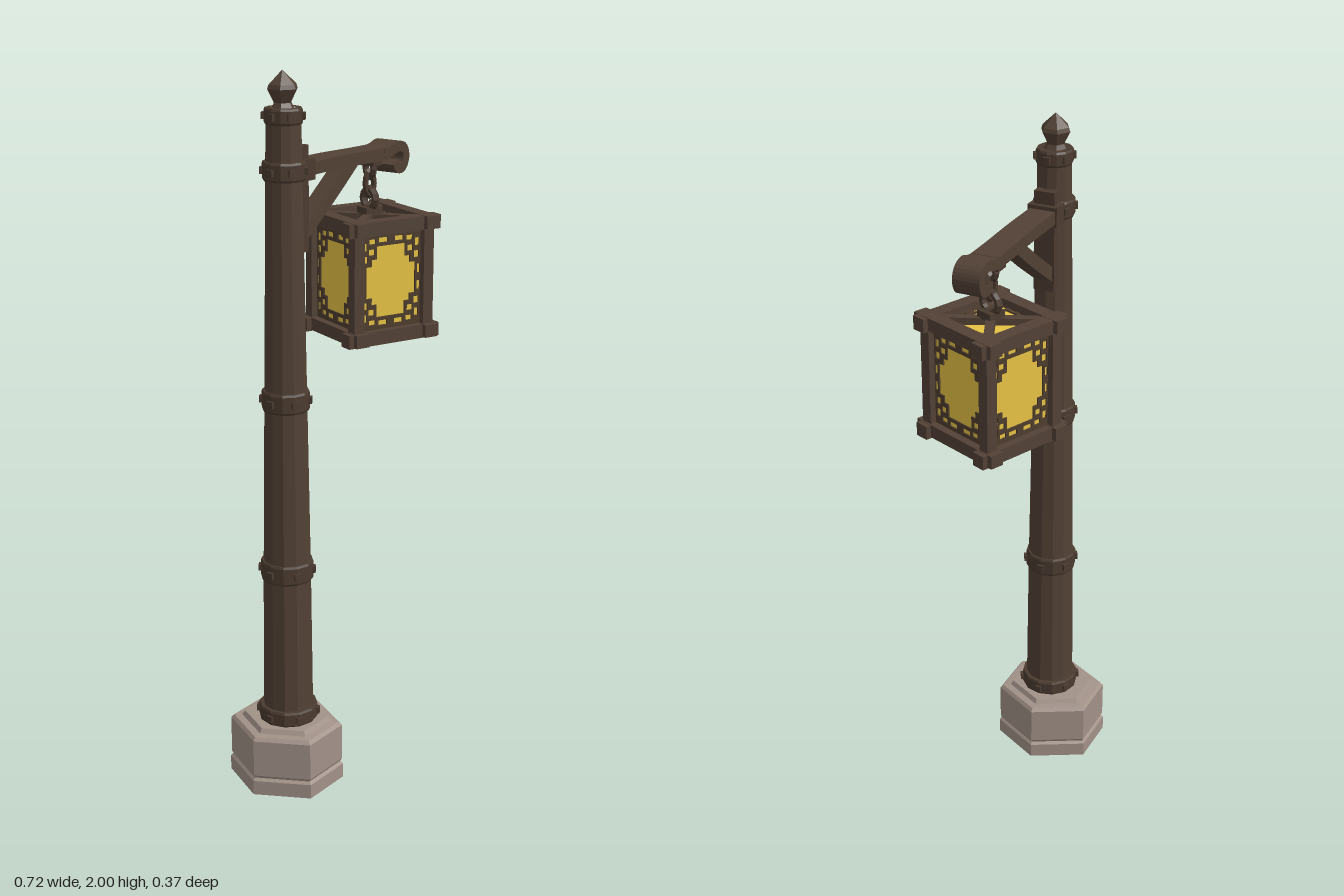
import * as THREE from 'three';

const mat = (name, color) => {
  const m = new THREE.MeshStandardMaterial({ color, flatShading: true });
  m.name = name;
  return m;
};

export function createModel() {
  const root = new THREE.Group();
  root.name = 'streetLantern';
  const wood = mat('wood', 0x524135);
  const darkWood = mat('darkWood', 0x4b3b30);
  const stone = mat('stone', 0xa29288);
  const glass = mat('glass', 0xe6c244);
  const lace = mat('lace', 0x4d3d2d);
  glass.side = lace.side = THREE.DoubleSide;

  const add = (parent, name, geo, material, x = 0, y = 0, z = 0) => {
    const mesh = new THREE.Mesh(geo, material);
    mesh.name = name;
    mesh.position.set(x, y, z);
    parent.add(mesh);
    return mesh;
  };
  const box = (w, h, d) => new THREE.BoxGeometry(w, h, d);
  const lathe = (pts, sides) => new THREE.LatheGeometry(pts.map(p => new THREE.Vector2(...p)), sides);

  // Hexagonal stone foot with a groove and a chamfered top
  const PX = -0.207;
  const foot = add(root, 'stoneBase', lathe([
    [0, 0], [0.153, 0], [0.153, 0.042], [0.146, 0.05], [0.15, 0.058],
    [0.15, 0.165], [0.142, 0.175], [0.12, 0.177], [0.112, 0.19], [0, 0.19],
  ], 6).rotateY(Math.PI / 2), stone, PX, 0, -0.008);
  foot.scale.z = 1.09;

  // Tapered post
  const postRadius = y => 0.071 - 0.0165 * (y - 0.18);
  add(root, 'post', lathe([
    [0, 0.18], [0.071, 0.18], [0.066, 0.64], [0.058, 1.13], [0.048, 1.75], [0.046, 1.9], [0, 1.9],
  ], 12), wood, PX);

  // Bands around the post, each with studs
  for (const [y, h, out] of [[0.21, 0.045, 0.013], [0.642, 0.056, 0.01], [1.13, 0.056, 0.01], [1.745, 0.05, 0.012], [1.885, 0.042, 0.008]]) {
    const band = new THREE.Group();
    band.name = 'postBand';
    band.position.set(PX, y, 0);
    root.add(band);
    const r = postRadius(y) + out;
    add(band, 'bandRing', lathe([
      [r - 0.02, -h / 2], [r - 0.003, -h / 2], [r, -h / 2 + 0.006], [r, h / 2 - 0.006], [r - 0.003, h / 2], [r - 0.02, h / 2],
    ], 12), darkWood);
    for (let i = 0; i < 6; i++) {
      const a = (i + 0.5) * Math.PI / 3;
      const stud = add(band, 'bandStud', box(0.018, 0.018, 0.012), darkWood, Math.sin(a) * r, 0, Math.cos(a) * r);
      stud.rotation.y = a;
    }
  }

  // Pointed finial
  add(root, 'finial', lathe([
    [0, 1.895], [0.034, 1.9], [0.024, 1.918], [0.042, 1.953], [0.038, 1.964], [0, 2],
  ], 6), wood, PX, 0, -0.002);

  // Flat bar following a centre line, with constant thickness
  const strip = (pts, thick, width, steps) => {
    const curve = new THREE.CatmullRomCurve3(pts.map(p => new THREE.Vector3(p[0], p[1], 0)));
    const upper = [], lower = [];
    for (let i = 0; i <= steps; i++) {
      const p = curve.getPointAt(i / steps), t = curve.getTangentAt(i / steps);
      const nx = -t.y * thick / 2, ny = t.x * thick / 2;
      upper.push(new THREE.Vector2(p.x + nx, p.y + ny));
      lower.unshift(new THREE.Vector2(p.x - nx, p.y - ny));
    }
    return new THREE.ExtrudeGeometry(new THREE.Shape([...upper, ...lower]), { depth: width, bevelEnabled: false })
      .translate(0, 0, -width / 2);
  };

  // Bracket: wall plate, arm with curled end, diagonal brace
  add(root, 'bracketPlate', box(0.028, 0.28, 0.06), darkWood, -0.152, 1.665, -0.002);
  add(root, 'bracketBlock', box(0.05, 0.055, 0.085), darkWood, -0.15, 1.742, -0.002);
  add(root, 'arm', strip([[-0.16, 1.742], [0.0, 1.742], [0.14, 1.738], [0.215, 1.737]], 0.034, 0.074, 10), wood, 0, 0, -0.003);
  add(root, 'armCurl', strip([
    [0.2, 1.737], [0.235, 1.741], [0.268, 1.75], [0.297, 1.74], [0.305, 1.715],
    [0.29, 1.69], [0.264, 1.691], [0.256, 1.707],
  ], 0.029, 0.076, 30), wood, 0, 0, -0.003);
  add(root, 'brace', strip([[-0.155, 1.565], [-0.04, 1.645], [0.075, 1.732]], 0.036, 0.05, 4), wood, 0, 0, -0.002);

  // Hanger: plate under the arm, links and an eye on the lantern
  const LX = 0.177;
  add(root, 'armPlate', box(0.04, 0.02, 0.06), darkWood, LX, 1.717, -0.003);
  const ring = (name, y, r, tube, sy, turn) => {
    const m = add(root, name, new THREE.TorusGeometry(r, tube, 6, 12), darkWood, LX, y, 0);
    m.scale.y = sy;
    m.rotation.y = turn;
  };
  ring('upperLink', 1.698, 0.02, 0.009, 1.1, Math.PI / 2 - 0.38);
  ring('middleLink', 1.656, 0.014, 0.009, 1.9, -0.38);
  ring('lowerEye', 1.614, 0.03, 0.011, 0.9, Math.PI / 2 - 0.38);

  // Lantern, turned on its hanger
  const lantern = new THREE.Group();
  lantern.name = 'lantern';
  lantern.position.set(LX, 1.405, 0);
  lantern.rotation.y = -0.386;
  root.add(lantern);
  const S = 0.113;
  add(lantern, 'eyeFoot', box(0.05, 0.022, 0.05), darkWood, 0, 0.176, 0);

  // Corner posts and overlapping top and bottom rails
  for (const a of [-S, S]) {
    for (const b of [-S, S]) add(lantern, 'cornerPost', box(0.032, 0.31, 0.032), wood, a, 0, b);
    for (const y of [-0.153, 0.153]) {
      add(lantern, 'railAcross', box(0.296, 0.038, 0.04), wood, 0, y, a);
      add(lantern, 'railDeep', box(0.04, 0.036, 0.296), wood, a, y + 0.002, 0);
    }
  }

  // Crossed bars over the roof and floor
  for (const y of [-0.153, 0.158]) {
    for (const turn of [1, -1]) {
      const bar = add(lantern, 'crossBar', box(0.31, 0.022 + turn * 0.002, 0.024), wood, 0, y, 0);
      bar.rotation.y = turn * Math.PI / 4;
    }
  }

  // Lace plate: cross-shaped opening in the middle and small openings round the rim
  const laceGeometry = (w, h) => {
    const rect = (x, y, a, b) => [[x - a, y - b], [x + a, y - b], [x + a, y + b], [x - a, y + b]];
    const path = (pts, Type) => new Type(pts.map(p => new THREE.Vector2(p[0] * w, p[1] * h)));
    const shape = path(rect(0, 0, 1, 1), THREE.Shape);
    const steps = [[0.8, 0.32], [0.62, 0.32], [0.62, 0.46], [0.46, 0.46], [0.46, 0.72]];
    const mirrored = [...steps].reverse();
    const hole = [
      ...steps, ...mirrored.map(([x, y]) => [-x, y]),
      ...steps.map(([x, y]) => [-x, -y]), ...mirrored.map(([x, y]) => [x, -y]),
    ];
    shape.holes.push(path(hole, THREE.Path));
    for (const sx of [-1, 1]) for (const sy of [-1, 1]) {
      for (const [x, y, a, b] of [
        [0.63, 0.61, 0.09, 0.06], [0.84, 0.47, 0.08, 0.07], [0.85, 0.72, 0.07, 0.08],
        [0.6, 0.82, 0.1, 0.05], [0.26, 0.84, 0.14, 0.05], [0.91, 0.17, 0.05, 0.09],
      ]) shape.holes.push(path(rect(sx * x, sy * y, a, b), THREE.Path));
    }
    return new THREE.ExtrudeGeometry(shape, { depth: 0.004, bevelEnabled: false });
  };

  // Four glazed sides, plus a glazed roof and floor
  const sideLace = laceGeometry(0.1, 0.138), endLace = laceGeometry(0.1, 0.1);
  const pane = (name, h, out, laceGeo, rx, ry) => {
    const g = new THREE.Group();
    g.name = name;
    g.rotation.set(rx, ry, 0);
    lantern.add(g);
    add(g, 'glassPane', box(0.2, h, 0.006), glass, 0, 0, out);
    add(g, 'lacePlate', laceGeo, lace, 0, 0, out + 0.003);
  };
  for (let i = 0; i < 4; i++) pane('sidePanel', 0.28, 0.104, sideLace, 0, i * Math.PI / 2);
  pane('roofPanel', 0.2, 0.146, endLace, -Math.PI / 2, 0);
  pane('floorPanel', 0.2, 0.146, endLace, Math.PI / 2, 0);

  return root;
}
